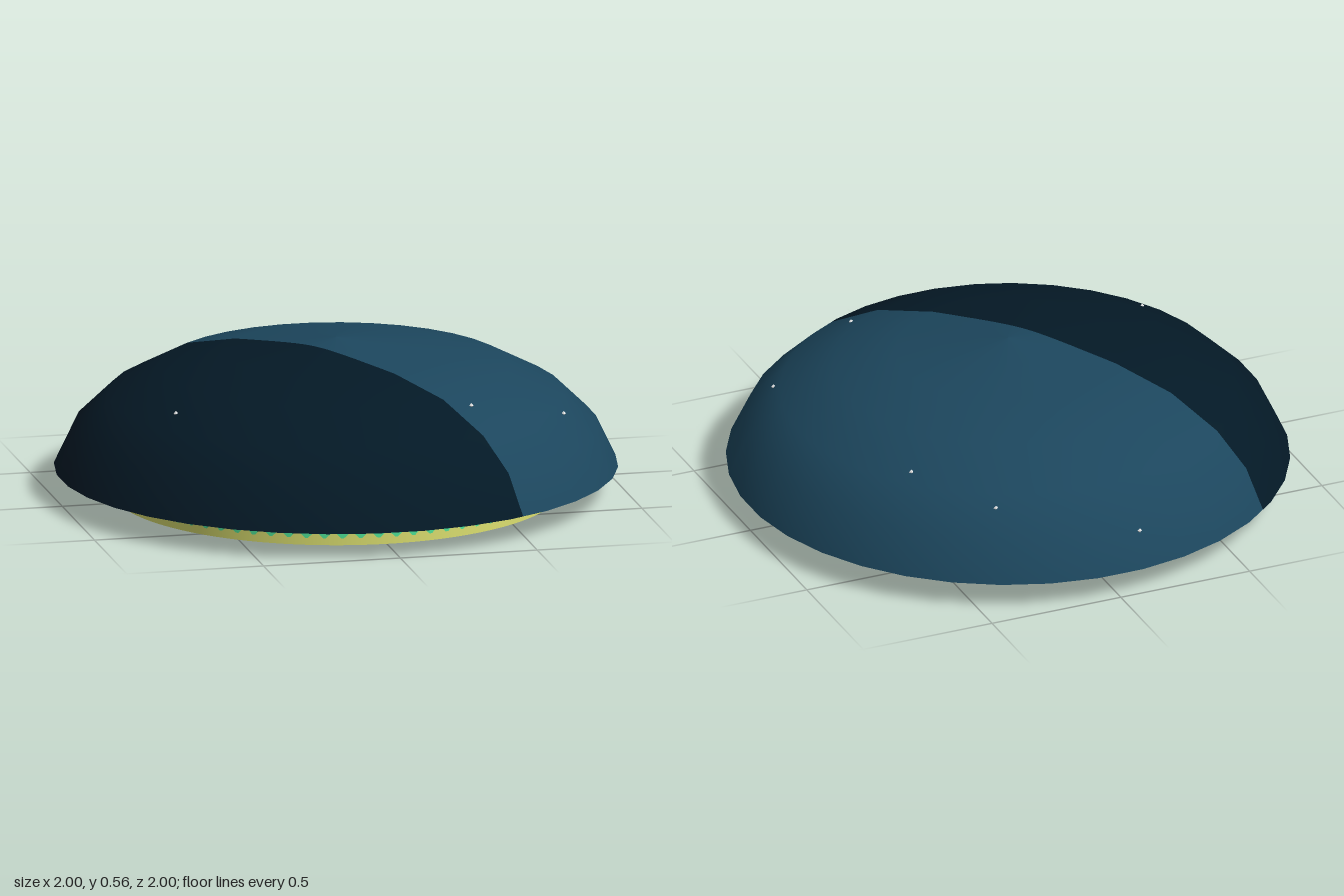
import * as THREE from 'three';

const mat = (name, hex, side = THREE.FrontSide) => {
  const m = new THREE.MeshStandardMaterial({ color: hex, side });
  m.name = name;
  return m;
};

// Outline of the dome, rim to apex: radius, height
const DOME = [[1.004, 0.096], [0.934, 0.243], [0.813, 0.36], [0.622, 0.46], [0.4, 0.515], [0, 0.565]];
// Vertical plane that divides the two dome colours
const SPLIT = new THREE.Vector3(-0.82, 0, 0.572), OFFSET = 0.112;

// Keeps the part of a geometry on one side of the dividing plane
function clip(geometry, sign) {
  const g = geometry.toNonIndexed(), p = g.attributes.position, n = g.attributes.normal;
  const pos = [], nor = [];
  for (let i = 0; i < p.count; i += 3) {
    const corners = [0, 1, 2].map(k => {
      const at = new THREE.Vector3().fromBufferAttribute(p, i + k);
      return { at, normal: new THREE.Vector3().fromBufferAttribute(n, i + k), d: sign * (at.dot(SPLIT) - OFFSET) };
    });
    const poly = [];
    corners.forEach((a, k) => {
      const b = corners[(k + 1) % 3];
      if (a.d >= 0) poly.push(a);
      if ((a.d >= 0) !== (b.d >= 0)) {
        const t = a.d / (a.d - b.d);
        poly.push({ at: a.at.clone().lerp(b.at, t), normal: a.normal.clone().lerp(b.normal, t).normalize() });
      }
    });
    for (let k = 1; k + 1 < poly.length; k++)
      for (const v of [poly[0], poly[k], poly[k + 1]]) {
        pos.push(...v.at.toArray());
        nor.push(...v.normal.toArray());
      }
  }
  return build(pos, nor);
}

function build(pos, nor) {
  const g = new THREE.BufferGeometry();
  g.setAttribute('position', new THREE.Float32BufferAttribute(pos, 3));
  g.setAttribute('normal', new THREE.Float32BufferAttribute(nor, 3));
  return g;
}

// Row of downward-pointing teeth round a cylinder; tip is the share of a tooth left blunt
function teeth(radius, count, yLow, yHigh, tip, inward) {
  const pos = [], nor = [], s = inward ? -1 : 1;
  const step = (Math.PI * 2) / count;
  const add = (a, y) => {
    pos.push(radius * Math.sin(a), y, radius * Math.cos(a));
    nor.push(s * Math.sin(a), 0, s * Math.cos(a));
  };
  for (let i = 0; i < count; i++) {
    const a = i * step, b = a + step, m = a + step / 2;
    const l = m - (tip * step) / 2, r = m + (tip * step) / 2;
    const tris = [
      [[a, yHigh], [l, yLow], [l, yHigh]], [[l, yHigh], [l, yLow], [r, yLow]],
      [[l, yHigh], [r, yLow], [r, yHigh]], [[r, yHigh], [r, yLow], [b, yHigh]],
    ];
    for (const t of tris) (inward ? t.reverse() : t).forEach(v => add(...v));
  }
  return build(pos, nor);
}

function domeHeight(r) {
  const i = DOME.findIndex(([radius]) => radius <= r);
  const [r0, y0] = DOME[i - 1], [r1, y1] = DOME[i];
  return y0 + ((y1 - y0) * (r0 - r)) / (r0 - r1);
}

export function createModel() {
  const model = new THREE.Group();
  model.name = 'domedWheel';
  const blue = mat('domeBlue', 0x1c465d, THREE.DoubleSide);
  const dark = mat('domeDark', 0x041926, THREE.DoubleSide);
  const white = mat('starWhite', 0xffffff);
  const yellow = mat('wallYellow', 0xdce070, THREE.DoubleSide);
  const mint = mat('patternMint', 0x4fe498, THREE.DoubleSide);
  const peach = mat('undersidePeach', 0xfae4d4);
  const leaf = mat('undersideLeaf', 0xb8faa4);
  const grey = mat('hubPaleGrey', 0xb0e8e0);
  const green = mat('rimGreen', 0x22a852);
  const teal = mat('spokeTeal', 0x208068);

  const add = (name, geometry, material, parent = model, x = 0, y = 0, z = 0) => {
    const m = new THREE.Mesh(geometry, material);
    m.name = name;
    m.position.set(x, y, z);
    parent.add(m);
  };

  // Open dome in two colours
  const dome = new THREE.LatheGeometry(DOME.map(p => new THREE.Vector2(...p)), 36, Math.PI / 36);
  add('domeLightSide', clip(dome, -1), blue);
  add('domeDarkSide', clip(dome, 1), dark);

  // Tiny stars on the dome
  const stars = [[-0.1, -0.94], [0.38, -0.76], [0.59, -0.49], [-0.66, 0.32], [0.74, 0.39], [0.36, 0.57]];
  for (const [x, z] of stars)
    add('star', new THREE.OctahedronGeometry(0.009), white, model, x, domeHeight(Math.hypot(x, z)), z);

  // Patterned wall: yellow cylinder with two rows of teeth
  const wall = (name, radius, count, inward) => {
    const g = new THREE.Group();
    g.name = name;
    model.add(g);
    const r = radius + (inward ? -0.003 : 0.003);
    add('wallBase', new THREE.CylinderGeometry(radius, radius, 0.116, count * 6, 1, true), yellow, g, 0, 0.062);
    add('largeTeeth', teeth(r, count, 0.06, 0.11, 0.42, inward), mint, g);
    add('smallTeeth', teeth(r, count * 3, 0.03, 0.056, 0.15, inward), mint, g);
  };
  wall('outerWall', 0.801, 26, false);
  wall('innerWall', 0.651, 20, true);
  wall('hubWall', 0.41, 14, false);

  // Flat faces closing the ring and hub
  const flat = (name, r0, r1, y, material, up) =>
    add(name, new THREE.RingGeometry(r0, r1, 72).rotateX(up ? -Math.PI / 2 : Math.PI / 2), material, model, 0, y);
  flat('ringTop', 0.651, 0.801, 0.12, yellow, true);
  flat('hubTop', 0, 0.41, 0.12, grey, true);
  flat('hubUnderside', 0, 0.39, 0.006, grey, false);
  flat('hubBoss', 0, 0.097, 0.002, mint, false);
  add('hubRim', new THREE.TorusGeometry(0.395, 0.025, 10, 72).rotateX(Math.PI / 2), green, model, 0, 0.025);

  // Underside of the ring, in slanting stripes
  const stripes = 72, rows = 4, arc = (Math.PI * 2) / stripes, depth = 0.156 / rows;
  for (let row = 0; row < rows; row++)
    for (let i = 0; i < stripes; i++) {
      const inner = 0.649 + row * depth;
      add('ringUndersideStripe',
        new THREE.RingGeometry(inner, inner + depth, 2, 1, (i + row / 2) * arc, arc).rotateX(Math.PI / 2),
        i % 2 ? peach : leaf, model, 0, 0.003);
    }

  // Twelve round spokes
  for (let i = 0; i < 12; i++) {
    const spoke = new THREE.Group();
    spoke.name = 'spoke';
    spoke.rotation.y = (i * Math.PI) / 6;
    model.add(spoke);
    add('spokeBeam', new THREE.CylinderGeometry(0.047, 0.047, 0.25, 16).rotateZ(Math.PI / 2), teal, spoke, 0.53, 0.056);
  }
  return model;
}
